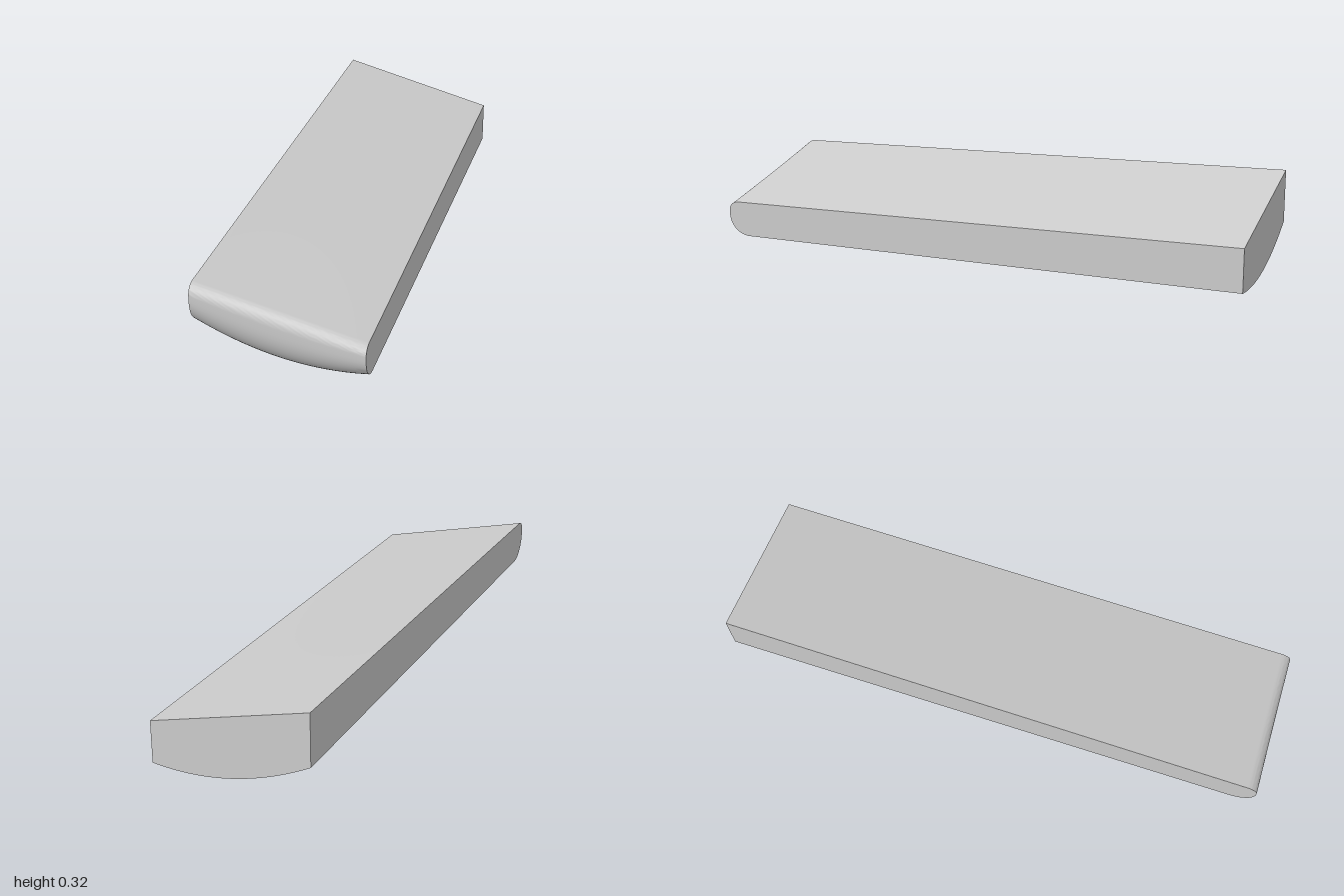
import * as THREE from 'three';
import { toCreasedNormals } from 'three/addons/utils/BufferGeometryUtils.js';

const HALF = 0.289; // half width
const COLUMNS = 32;
const ARC = 12;

// Curved underside and sloping, slightly twisted top
const bottomY = (x) => 0.59 * (x - 0.17) ** 2;
const topY = (x, z) => {
  const back = 0.239 - 0.264 * x;
  const front = 0.2075 - 0.242 * x;
  return THREE.MathUtils.lerp(back, front, (z + 1) / 1.96);
};

// Side profile as [z, height fraction]: back, underside, rounded nose, top
function sideProfile() {
  const points = [[-1, 0]];
  for (let i = 0; i <= ARC; i++) {
    const a = (i / ARC) * Math.PI / 2;
    points.push([0.915 + 0.085 * Math.sin(a), 0.64 * (1 - Math.cos(a))]);
  }
  for (let i = 0; i <= ARC; i++) {
    const a = (i / ARC) * Math.PI / 2;
    points.push([0.96 + 0.04 * Math.cos(a), 0.76 + 0.24 * Math.sin(a)]);
  }
  points.push([-1, 1]);
  return points;
}

function slabGeometry() {
  const profile = sideProfile();
  const n = profile.length;
  const positions = [];
  const index = [];

  // Cross-sections from right to left
  for (let i = 0; i <= COLUMNS; i++) {
    const x = -HALF + (2 * HALF * i) / COLUMNS;
    for (const [z, f] of profile) {
      positions.push(x, THREE.MathUtils.lerp(bottomY(x), topY(x, Math.min(z, 0.96)), f), z);
    }
  }
  for (let i = 0; i < COLUMNS; i++) {
    for (let j = 0; j < n; j++) {
      const k = (j + 1) % n;
      const a = i * n + j, b = i * n + k, c = a + n, d = b + n;
      index.push(a, c, b, b, c, d);
    }
  }

  // Flat side caps
  for (const side of [-1, 1]) {
    const x = side * HALF;
    const start = side < 0 ? 0 : COLUMNS * n;
    const centre = positions.length / 3;
    positions.push(x, (bottomY(x) + topY(x, 0)) / 2, 0);
    for (let j = 0; j < n; j++) {
      const p = start + j, q = start + (j + 1) % n;
      if (side < 0) index.push(centre, p, q);
      else index.push(centre, q, p);
    }
  }

  const geometry = new THREE.BufferGeometry();
  geometry.setAttribute('position', new THREE.Float32BufferAttribute(positions, 3));
  geometry.setIndex(index);
  return toCreasedNormals(geometry, THREE.MathUtils.degToRad(35));
}

export function createModel() {
  const group = new THREE.Group();
  group.name = 'roundedSlab';
  const slab = new THREE.Mesh(slabGeometry(), new THREE.MeshStandardMaterial({ color: 0xcccccc }));
  slab.name = 'slab';
  group.add(slab);
  return group;
}
